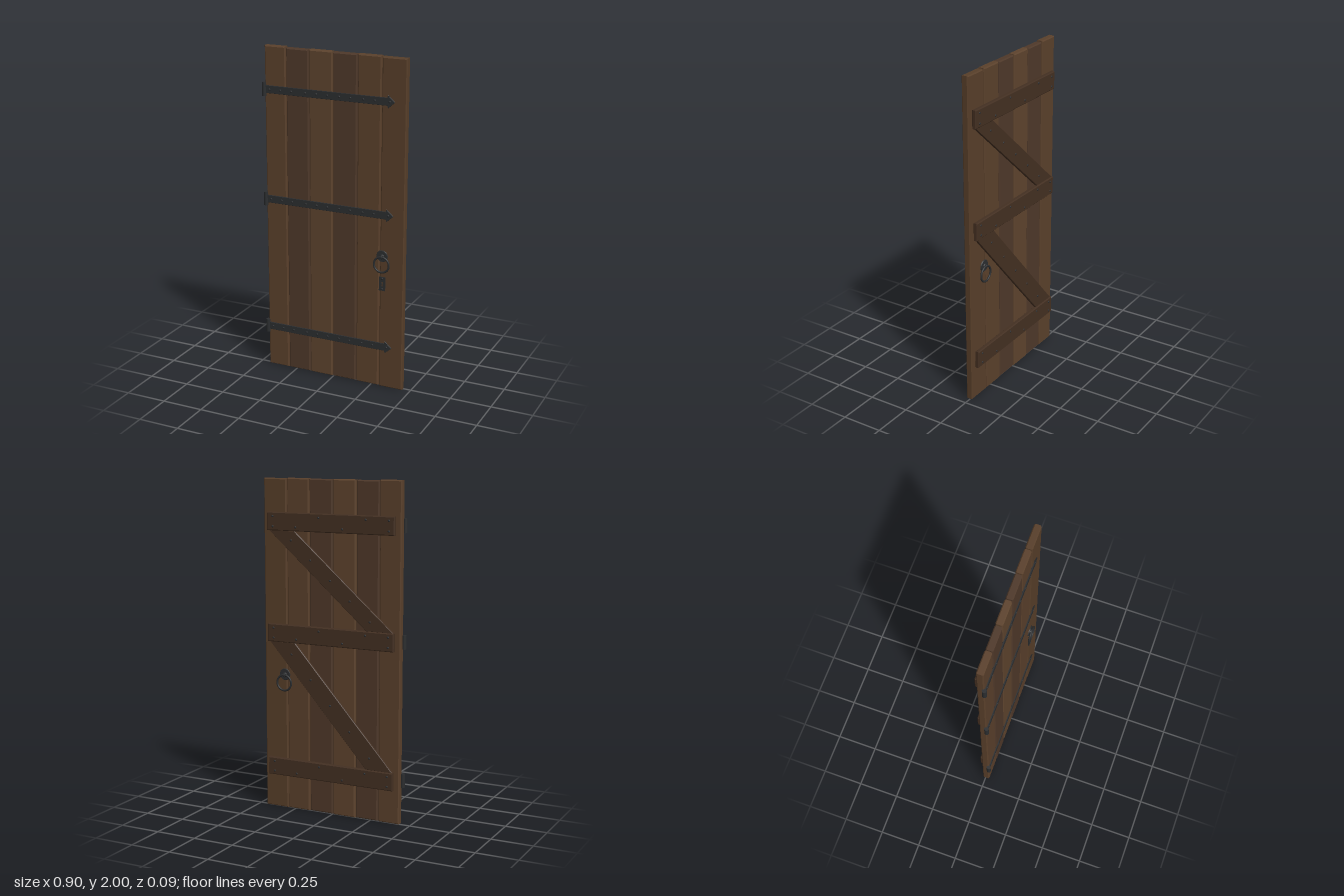
import * as THREE from 'three';

const mat = (color) => new THREE.MeshStandardMaterial({ color });
const woods = [0x5a402b, 0x4e3829, 0x5d432d, 0x4e3829, 0x5a402b, 0x573e29].map(mat);
const darkWood = mat(0x432f21);
const iron = mat(0x2b2d2f);

// Flat board from an outline, with chamfered edges, between z0 and z1
function slab(name, points, z0, z1, bevel, material) {
  const shape = new THREE.Shape(points.map(([x, y]) => new THREE.Vector2(x, y)));
  const geo = new THREE.ExtrudeGeometry(shape, {
    depth: z1 - z0 - 2 * bevel, bevelEnabled: bevel > 0, bevelThickness: bevel,
    bevelSize: bevel, bevelOffset: -bevel, bevelSegments: 1,
  });
  geo.translate(0, 0, z0 + bevel);
  const mesh = new THREE.Mesh(geo, material);
  mesh.name = name;
  return mesh;
}
const rect = (x0, x1, y0, y1) => [[x0, y0], [x1, y0], [x1, y1], [x0, y1]];

// Domed nail head; side is +1 for the front, -1 for the back
const rivetGeo = new THREE.SphereGeometry(0.007, 10, 5, 0, Math.PI * 2, 0, Math.PI / 2);
rivetGeo.rotateX(Math.PI / 2);
function rivet(x, y, z, side) {
  const mesh = new THREE.Mesh(rivetGeo, iron);
  mesh.name = 'rivet';
  mesh.position.set(x, y, z);
  mesh.scale.z = 0.6;
  if (side < 0) mesh.rotation.y = Math.PI;
  return mesh;
}

// Cylinder whose axis points along z
function disc(name, r0, r1, depth, x, y, z) {
  const mesh = new THREE.Mesh(new THREE.CylinderGeometry(r1, r0, depth, 24).rotateX(Math.PI / 2), iron);
  mesh.name = name;
  mesh.position.set(x, y, z);
  return mesh;
}

// Ring pull facing +z: round plate, boss, staple and hanging ring
function ringPull(name) {
  const g = new THREE.Group();
  g.name = name;
  g.add(disc('ringPlate', 0.036, 0.033, 0.006, 0, 0.05, 0.003));
  g.add(disc('ringBoss', 0.016, 0.012, 0.008, 0, 0.048, 0.008));
  const staple = new THREE.Mesh(new THREE.TorusGeometry(0.01, 0.004, 8, 16), iron);
  staple.name = 'staple';
  staple.rotation.y = Math.PI / 2;
  staple.position.set(0, 0.047, 0.009);
  const ring = new THREE.Mesh(new THREE.TorusGeometry(0.047, 0.006, 10, 36), iron);
  ring.name = 'ring';
  ring.position.z = 0.013;
  g.add(staple, ring);
  return g;
}

export function createModel() {
  const door = new THREE.Group();
  door.name = 'plankDoor';

  // Vertical planks
  const seams = [-0.44, -0.301, -0.154, -0.004, 0.15, 0.298, 0.453];
  const tops = [2, 1.995, 1.997, 1.995, 1.997, 1.994];
  const bottoms = [0.003, 0.004, 0.002, 0.004, 0.002, 0];
  for (let i = 0; i < 6; i++) {
    const shift = i % 2 ? 0.001 : 0;
    door.add(slab('plank', rect(seams[i] + 0.003, seams[i + 1] - 0.003, bottoms[i], tops[i]),
      -0.017 + shift, 0.025 + shift, 0.006, woods[i]));
  }

  // Horizontal ledges across the back
  const ledges = [0.26, 1.082, 1.745];
  const nailX = [-0.37, -0.226, -0.078, 0.075, 0.226, 0.378];
  for (const y of ledges) {
    const ledge = new THREE.Group();
    ledge.name = 'ledge';
    ledge.add(slab('ledgeBoard', rect(-0.405, 0.418, y - 0.054, y + 0.054), -0.042, -0.016, 0.005, darkWood));
    nailX.forEach((x, i) => {
      const end = i === 0 || i === 5;
      if (end || i % 2) ledge.add(rivet(x, y + 0.03, -0.042, -1));
      if (end || !(i % 2)) ledge.add(rivet(x, y - 0.03, -0.042, -1));
    });
    door.add(ledge);
  }

  // Diagonal braces between neighbouring ledges
  for (let i = 0; i < 2; i++) {
    const y0 = ledges[i] + 0.052, y1 = ledges[i + 1] - 0.052;
    const brace = new THREE.Group();
    brace.name = 'brace';
    brace.add(slab('braceBoard', [[-0.4, y0], [-0.23, y0], [0.41, y1], [0.24, y1]].map(([x, y]) => [x, y]),
      -0.034, -0.016, 0.004, darkWood));
    for (const t of [0.1, 0.3, 0.5, 0.7, 0.9]) {
      brace.add(rivet(THREE.MathUtils.lerp(-0.315, 0.325, t), THREE.MathUtils.lerp(y0, y1, t), -0.034, -1));
    }
    door.add(brace);
  }

  // Strap hinges with arrow tips and barrels
  const strapRivets = [-0.405, -0.335, -0.265, -0.175, -0.105, -0.035, 0.04, 0.11, 0.19, 0.26, 0.35];
  for (const y of [0.26, 1.08, 1.745]) {
    const hinge = new THREE.Group();
    hinge.name = 'strapHinge';
    const outline = [[-0.442, -0.023], [0.335, -0.023], [0.34, -0.038], [0.382, 0],
      [0.34, 0.038], [0.335, 0.023], [-0.442, 0.023]].map(([x, dy]) => [x, y + dy]);
    hinge.add(slab('strap', outline, 0.023, 0.031, 0.0015, iron));
    for (const x of strapRivets) hinge.add(rivet(x, y, 0.031, 1));
    const barrel = new THREE.Mesh(new THREE.CylinderGeometry(0.013, 0.013, 0.082, 20), iron);
    barrel.name = 'hingeBarrel';
    barrel.position.set(-0.441, y, 0.027);
    hinge.add(barrel);
    door.add(hinge);
  }

  // Ring pulls on both faces
  const front = ringPull('frontRingPull');
  front.position.set(0.315, 0.78, 0.025);
  const back = ringPull('backRingPull');
  back.position.set(0.315, 0.78, -0.016);
  back.rotation.y = Math.PI;
  door.add(front, back);

  // Lock plate with keyhole
  const lock = new THREE.Group();
  lock.name = 'lockPlate';
  const plate = new THREE.Shape(rect(0.298, 0.337, 0.617, 0.702).map(([x, y]) => new THREE.Vector2(x, y)));
  const hole = new THREE.Path();
  hole.moveTo(0.314, 0.643);
  hole.lineTo(0.315, 0.662);
  hole.absarc(0.3175, 0.667, 0.006, Math.PI * 1.35, Math.PI * 1.65, true);
  hole.lineTo(0.321, 0.643);
  plate.holes.push(hole);
  const plateMesh = new THREE.Mesh(new THREE.ExtrudeGeometry(plate, { depth: 0.007, bevelEnabled: false }), iron);
  plateMesh.name = 'keyholePlate';
  plateMesh.position.z = 0.024;
  lock.add(plateMesh, rivet(0.3175, 0.692, 0.031, 1), rivet(0.3175, 0.627, 0.031, 1));
  door.add(lock);

  return door;
}
